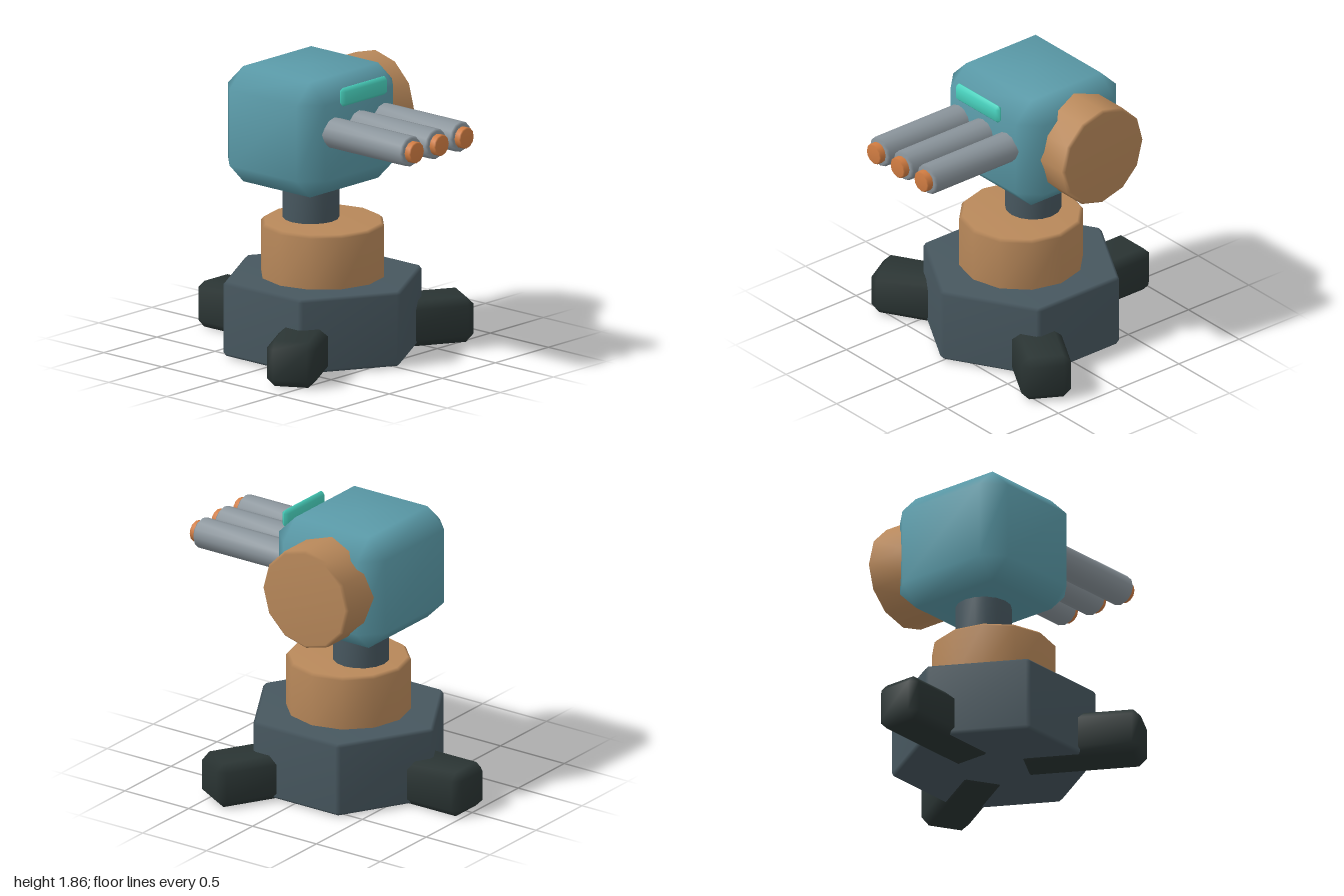
import * as THREE from 'three';
import { mergeVertices } from 'three/addons/utils/BufferGeometryUtils.js';

const paint = (name, color) => {
  const m = new THREE.MeshStandardMaterial({ color });
  m.name = name;
  return m;
};

// Corner lists, counter-clockwise seen from above
const polygon = (n, r, start = 0) => Array.from({ length: n }, (_, i) => {
  const a = start + (i / n) * Math.PI * 2;
  return new THREE.Vector2(Math.cos(a) * r, Math.sin(a) * r);
});
const rectangle = (w, d) => [[1, 1], [-1, 1], [-1, -1], [1, -1]]
  .map(([x, y]) => new THREE.Vector2(x * w / 2, y * d / 2));

// Upright prism from y = 0 to h with chamfered rims; split also chamfers its upright edges
function chamferedPrism(corners, h, bevel, split = 0) {
  const inner = [], outer = [];
  corners.forEach((c, i) => {
    const n = corners.length;
    const u = corners[(i + n - 1) % n].clone().sub(c).normalize();
    const v = corners[(i + 1) % n].clone().sub(c).normalize();
    const inset = c.clone().addScaledVector(u.clone().add(v), bevel / Math.abs(u.cross(v)));
    inner.push(inset, inset);
    outer.push(c.clone().addScaledVector(u, split), c.clone().addScaledVector(v, split));
  });
  const rings = [[inner, 0], [outer, bevel], [outer, h - bevel], [inner, h]];
  const count = inner.length, positions = [], index = [];
  for (const [ring, y] of rings) for (const p of ring) positions.push(p.x, y, -p.y);
  positions.push(0, 0, 0, 0, h, 0);
  const bottom = count * 4, top = bottom + 1;
  for (let i = 0; i < count; i++) {
    const j = (i + 1) % count;
    for (let k = 0; k < 3; k++) {
      const a = k * count + i, b = k * count + j;
      index.push(a, b, b + count, a, b + count, a + count);
    }
    index.push(bottom, j, i, top, 3 * count + i, 3 * count + j);
  }
  const g = new THREE.BufferGeometry();
  g.setAttribute('position', new THREE.Float32BufferAttribute(positions, 3));
  g.setIndex(index);
  const merged = mergeVertices(g, 1e-5);
  merged.computeVertexNormals();
  return merged;
}

export function createModel() {
  const model = new THREE.Group();
  model.name = 'turret';
  const slate = paint('slate', 0x47575f);
  const charcoal = paint('charcoal', 0x2a3433);
  const copper = paint('copper', 0xb8885a);
  const teal = paint('teal', 0x5a9aa8);
  const steel = paint('steel', 0x8a949b);
  const orange = paint('orange', 0xd07c42);
  const aqua = paint('aqua', 0x48d1bd);

  const add = (name, geometry, material, x, y, z, parent = model) => {
    const mesh = new THREE.Mesh(geometry, material);
    mesh.name = name;
    mesh.position.set(x, y, z);
    parent.add(mesh);
    return mesh;
  };

  // Hexagonal base on three feet
  add('base', chamferedPrism(polygon(6, 0.665, Math.PI / 6), 0.49, 0.02, 0.02), slate, 0, 0.01, -0.03);
  const footShape = chamferedPrism(rectangle(0.32, 0.8), 0.3, 0.05, 0.05).translate(0, 0, -0.57);
  ['backFoot', 'leftFoot', 'rightFoot'].forEach((name, i) => {
    add(name, footShape, charcoal, 0, 0, -0.03).rotation.y = -i * Math.PI * 2 / 3;
  });

  // Turntable and neck
  add('turntable', chamferedPrism(polygon(12, 0.4), 0.375, 0.02), copper, 0, 0.48, -0.03);
  add('neck', chamferedPrism(polygon(16, 0.18), 0.4, 0.01), slate, 0, 0.8, -0.13);

  // Head with an ammunition drum on its left side
  add('head', chamferedPrism(rectangle(0.9, 0.835), 0.76, 0.13, 0.13), teal, 0, 1.1, -0.1325);
  const drum = chamferedPrism(polygon(12, 0.335), 0.36, 0.018).rotateZ(-Math.PI / 2);
  add('ammoDrum', drum, copper, 0.3, 1.482, -0.163);

  // Visor strip
  const visor = chamferedPrism(rectangle(0.43, 0.12), 0.05, 0.022, 0.022).rotateX(Math.PI / 2);
  add('visor', visor, aqua, 0, 1.767, 0.297);

  // Three barrels with glowing tips
  const barrelShape = chamferedPrism(polygon(12, 0.1), 0.755, 0.014).rotateX(Math.PI / 2);
  const tipShape = chamferedPrism(polygon(12, 0.07), 0.1, 0.008).rotateX(Math.PI / 2);
  [-0.235, 0, 0.235].forEach((x, i) => {
    const gun = new THREE.Group();
    gun.name = ['rightGun', 'middleGun', 'leftGun'][i];
    gun.position.set(x, 1.535, 0);
    model.add(gun);
    add('barrel', barrelShape, steel, 0, 0, 0.2, gun);
    add('muzzle', tipShape, orange, 0, 0, 0.9, gun);
  });

  return model;
}
